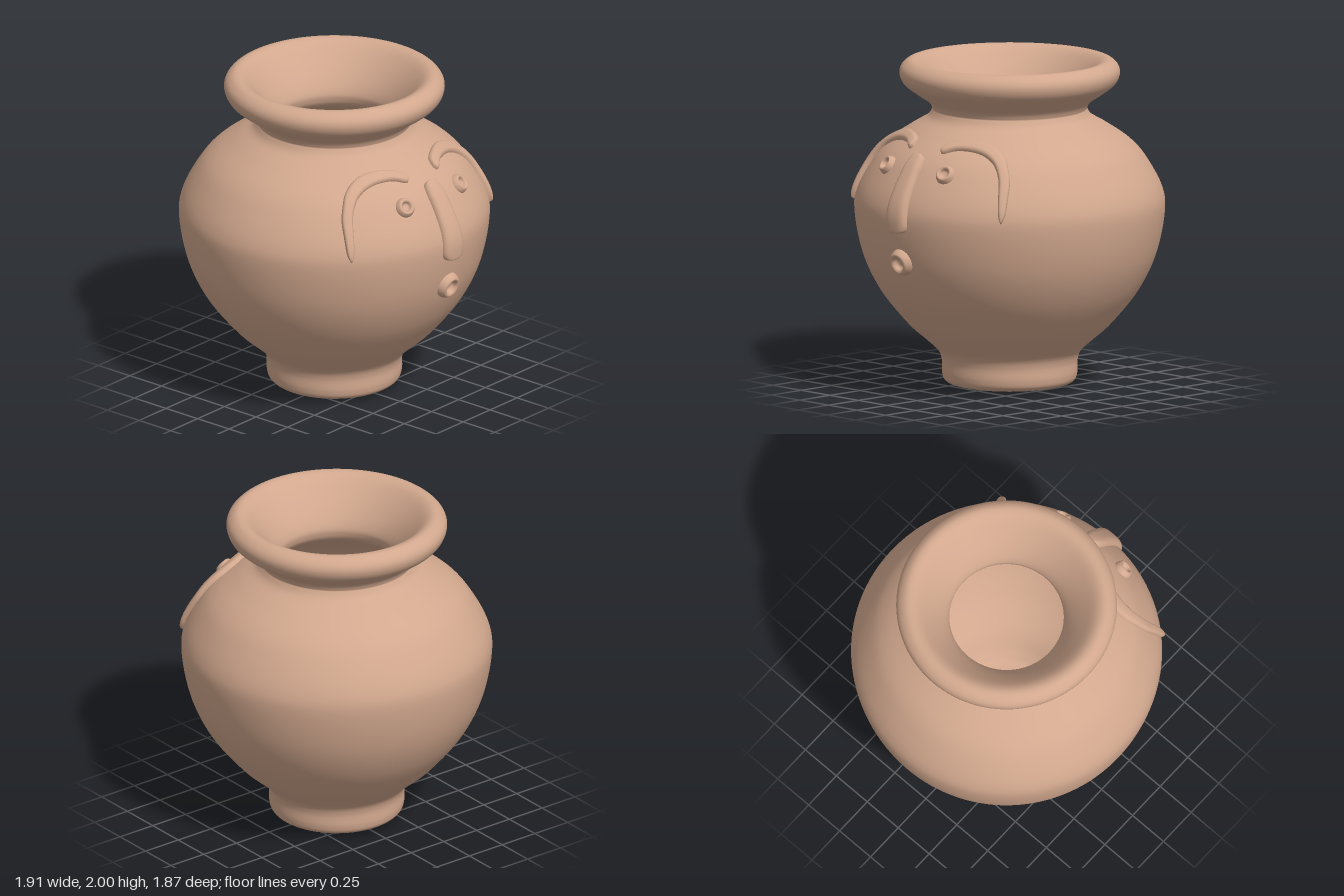
import * as THREE from 'three';

const AXIS_X = -0.02;
const vectors = (list) => list.map(([a, b]) => new THREE.Vector2(a, b));

// Outer wall from the base centre up to the neck, as [radius, height]
const outerWall = new THREE.SplineCurve(vectors([
  [0, 0], [0.2, 0.007], [0.33, 0.02], [0.39, 0.042], [0.408, 0.09], [0.41, 0.17],
  [0.435, 0.23], [0.51, 0.3], [0.62, 0.4], [0.78, 0.6], [0.885, 0.82], [0.935, 1.07],
  [0.918, 1.22], [0.82, 1.4], [0.73, 1.5], [0.6, 1.59], [0.5, 1.65], [0.465, 1.7],
])).getPoints(130);

// Flared lip, throat and hollow inside
const lipAndInside = new THREE.SplineCurve(vectors([
  [0.465, 1.7], [0.49, 1.745], [0.57, 1.8], [0.64, 1.855], [0.665, 1.915], [0.65, 1.965],
  [0.6, 1.998], [0.54, 1.98], [0.46, 1.9], [0.39, 1.81], [0.352, 1.74], [0.347, 1.69],
  [0.38, 1.63], [0.5, 1.55], [0.68, 1.4], [0.8, 1.2], [0.82, 1.05], [0.75, 0.75],
  [0.6, 0.5], [0.42, 0.3], [0.33, 0.17], [0.25, 0.11], [0, 0.1],
])).getPoints(130);

// Body radius at a height
function radiusAt(y) {
  for (let i = 1; i < outerWall.length; i++) {
    const a = outerWall[i - 1], b = outerWall[i];
    if (y <= b.y) return THREE.MathUtils.lerp(a.x, b.x, (y - a.y) / (b.y - a.y));
  }
  return 0.465;
}

// Point and normal on the face side (+x) of the body
function surfaceAt(z, y) {
  const r = radiusAt(y);
  const x = Math.sqrt(r * r - z * z);
  const slope = (radiusAt(y + 0.02) - radiusAt(y - 0.02)) / 0.04;
  return {
    point: new THREE.Vector3(x + AXIS_X, y, z),
    normal: new THREE.Vector3(x / r, -slope, z / r).normalize(),
  };
}

// Raised clay strip between two edges given as [z, y], hugging the body
function claystrip(edgeA, edgeB, height, side = 1) {
  const a = new THREE.SplineCurve(vectors(edgeA));
  const b = new THREE.SplineCurve(vectors(edgeB));
  const rows = 48, cols = 16, positions = [], index = [];
  for (let i = 0; i <= rows; i++) {
    const u = i / rows, s = 2 * u - 1;
    const pa = a.getPoint(u), pb = b.getPoint(u);
    for (let j = 0; j <= cols; j++) {
      const t = -Math.cos((j / cols) * Math.PI);
      const p = pa.clone().lerp(pb, (t + 1) / 2);
      const { point, normal } = surfaceAt(p.x * side, p.y);
      const lift = height * Math.sqrt(Math.max(0, (1 - t ** 4) * (1 - s ** 10))) - 0.004;
      point.addScaledVector(normal, lift);
      positions.push(point.x, point.y, point.z);
      if (i < rows && j < cols) {
        const k = i * (cols + 1) + j, n = k + cols + 1;
        if (side > 0) index.push(k, n, n + 1, k, n + 1, k + 1);
        else index.push(k, n + 1, n, k, k + 1, n + 1);
      }
    }
  }
  const geometry = new THREE.BufferGeometry();
  geometry.setAttribute('position', new THREE.Float32BufferAttribute(positions, 3));
  geometry.setIndex(index);
  geometry.computeVertexNormals();
  return geometry;
}

// Raised ring with a hollow in the middle, from the outside inwards
function crater(radius, height) {
  const profile = new THREE.SplineCurve(vectors([
    [1, -0.2], [0.94, 0.3], [0.8, 0.85], [0.66, 1], [0.5, 0.8], [0.4, 0.35], [0.25, 0.12], [0, 0.08],
  ])).getPoints(28).map((p) => new THREE.Vector2(Math.max(0, p.x) * radius, p.y * height));
  return new THREE.LatheGeometry(profile, 36);
}

export function createModel() {
  const group = new THREE.Group();
  const clay = new THREE.MeshStandardMaterial({ color: 0xd2a88e });
  const add = (name, geometry) => {
    const mesh = new THREE.Mesh(geometry, clay);
    mesh.name = name;
    group.add(mesh);
    return mesh;
  };

  // Pot
  const profile = [...outerWall, ...lipAndInside.slice(1)];
  profile.forEach((p) => { p.x = Math.max(0, p.x); p.y = THREE.MathUtils.clamp(p.y, 0, 2); });
  add('pot', new THREE.LatheGeometry(profile, 128)).position.x = AXIS_X;

  // Eyes and mouth
  const addCrater = (name, z, y, radius, height) => {
    const { point, normal } = surfaceAt(z, y);
    const mesh = add(name, crater(radius, height));
    mesh.position.copy(point);
    mesh.quaternion.setFromUnitVectors(new THREE.Vector3(0, 1, 0), normal);
  };
  addCrater('mouth', 0, 0.86, 0.085, 0.04);
  for (const side of [1, -1]) addCrater('eye', 0.25 * side, 1.41, 0.062, 0.03);

  // Nose, widening downwards
  const noseEdge = [
    [0, 1.492], [0.045, 1.483], [0.064, 1.44], [0.07, 1.36], [0.077, 1.24],
    [0.085, 1.13], [0.082, 1.08], [0.06, 1.053], [0, 1.046],
  ];
  add('nose', claystrip(noseEdge, noseEdge.map(([z, y]) => [-z, y]), 0.042));

  // Arched brows, tapering to a point at the outer end
  const browTop = [
    [0.12, 1.535], [0.14, 1.565], [0.22, 1.583], [0.32, 1.583], [0.42, 1.555],
    [0.52, 1.495], [0.595, 1.4], [0.635, 1.29], [0.652, 1.2], [0.642, 1.145],
  ];
  const browBottom = [
    [0.12, 1.53], [0.145, 1.515], [0.22, 1.537], [0.32, 1.535], [0.41, 1.512],
    [0.49, 1.465], [0.55, 1.39], [0.595, 1.28], [0.622, 1.19], [0.638, 1.145],
  ];
  for (const side of [1, -1]) add('brow', claystrip(browTop, browBottom, 0.034, side));

  return group;
}
